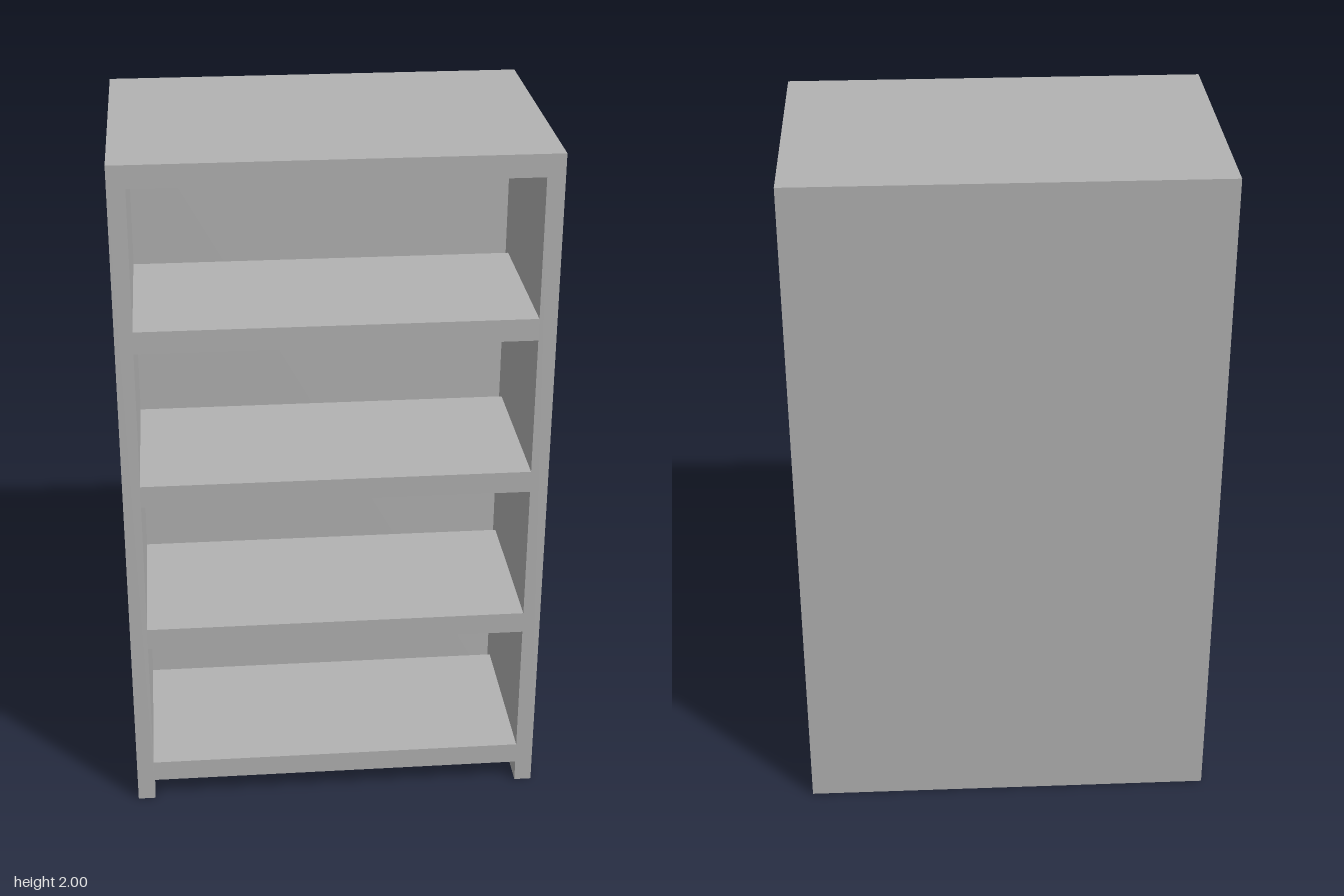
import * as THREE from 'three';

// Overall size and board dimensions
const W = 1.2, H = 2, D = 0.8;
const SIDE = 0.05, BOARD = 0.064, CAVITY = 0.54, SHELF_DEPTH = 0.5;
const FRONT = D / 2;

export function createModel() {
  const model = new THREE.Group();
  model.name = 'bookcase';
  const grey = new THREE.MeshStandardMaterial({ color: 0xb2b2b2 });
  grey.name = 'grey';

  const add = (name, geometry) => {
    const mesh = new THREE.Mesh(geometry, grey);
    mesh.name = name;
    model.add(mesh);
    return mesh;
  };

  // Sides and thick back: one U-shaped footprint raised to full height
  const inner = W / 2 - SIDE;
  const back = FRONT - CAVITY;
  const footprint = new THREE.Shape([
    [-W / 2, -FRONT], [-inner, -FRONT], [-inner, -back], [inner, -back],
    [inner, -FRONT], [W / 2, -FRONT], [W / 2, FRONT], [-W / 2, FRONT],
  ].map(([x, y]) => new THREE.Vector2(x, y)));
  const carcass = new THREE.ExtrudeGeometry(footprint, { depth: H, bevelEnabled: false });
  carcass.rotateX(-Math.PI / 2);
  add('sidesAndBack', carcass);

  // Top board closes the cavity between the sides
  add('topBoard', new THREE.BoxGeometry(inner * 2, BOARD, CAVITY))
    .position.set(0, H - BOARD / 2, FRONT - CAVITY / 2);

  // Four evenly spaced shelves, flush at the front with a small gap behind
  for (let i = 0; i < 4; i++) {
    const top = 0.13 + i * 0.468;
    add(`shelf${i + 1}`, new THREE.BoxGeometry(inner * 2, BOARD, SHELF_DEPTH))
      .position.set(0, top - BOARD / 2, FRONT - SHELF_DEPTH / 2);
  }

  return model;
}
